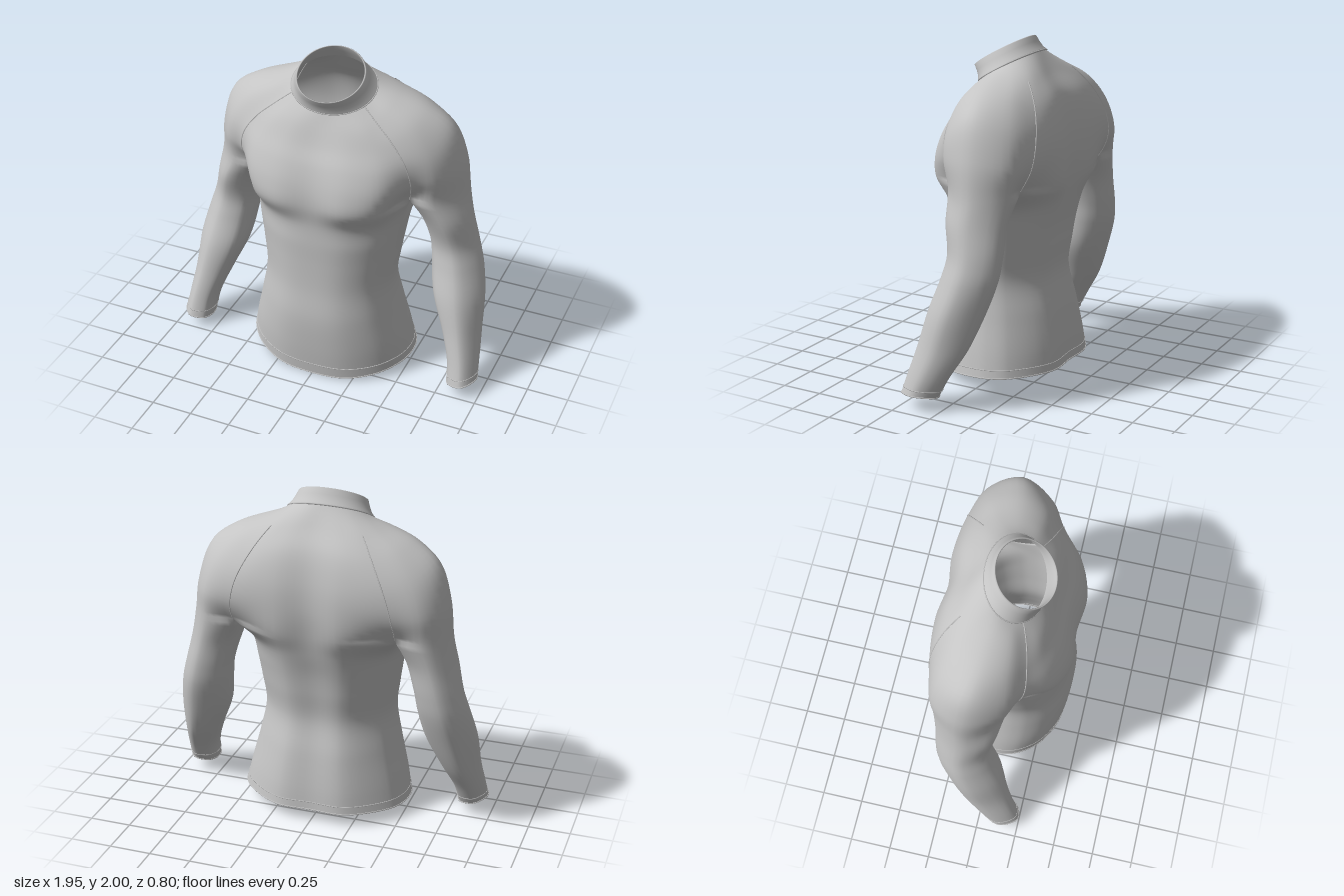
import * as THREE from 'three';
import { mergeGeometries, mergeVertices } from 'three/addons/utils/BufferGeometryUtils.js';

const K = 6;            // rows between two cross-sections
const N = 5;            // points between two columns
const SPLIT = 5 * K;    // row where the sleeves part from the torso
const V = (x, y, z) => new THREE.Vector3(x, y, z);
const flip = (p) => V(-p.x, p.y, p.z);

// Columns run from front centre, round the left side, to back centre.
const COLS = ['f0', 'f1', 'f2', 'p', 'a1', 'a2', 'a3', 'q', 'b1', 'b0'];
const ARM = ['p', 'a1', 'a2', 'a3', 'q', 's3', 's2', 's1'];

// Yoke: each column from just below the collar down to armpit height.
const YOKE = {
  f0: [[0, 1.64, .235], [0, 1.54, .28], [0, 1.44, .335], [0, 1.31, .375], [0, 1.2, .385]],
  f1: [[.14, 1.65, .235], [.18, 1.55, .285], [.2, 1.45, .34], [.21, 1.32, .387], [.21, 1.2, .4]],
  f2: [[.25, 1.66, .21], [.32, 1.56, .25], [.37, 1.45, .295], [.39, 1.32, .325], [.38, 1.2, .32]],
  p: [[.32, 1.69, .155], [.42, 1.6, .18], [.5, 1.48, .19], [.525, 1.35, .165], [.495, 1.22, .1]],
  a1: [[.36, 1.76, .08], [.51, 1.68, .09], [.62, 1.53, .1], [.655, 1.38, .1], [.64, 1.22, .085]],
  a2: [[.37, 1.8, -.03], [.54, 1.735, -.06], [.68, 1.63, -.09], [.755, 1.42, -.11], [.785, 1.2, -.12]],
  a3: [[.34, 1.8, -.15], [.48, 1.71, -.22], [.6, 1.56, -.28], [.66, 1.38, -.31], [.67, 1.22, -.3]],
  q: [[.27, 1.79, -.22], [.36, 1.66, -.31], [.44, 1.5, -.36], [.48, 1.35, -.355], [.485, 1.22, -.29]],
  b1: [[.15, 1.8, -.235], [.19, 1.68, -.33], [.2, 1.52, -.385], [.2, 1.36, -.4], [.2, 1.2, -.385]],
  b0: [[0, 1.81, -.22], [0, 1.69, -.31], [0, 1.53, -.36], [0, 1.36, -.375], [0, 1.2, -.36]],
};
const ARMPIT = { s1: [.483, 1.19, .03], s2: [.478, 1.17, -.1], s3: [.478, 1.19, -.22] };

// Torso rows: height, half width, front z, back z; then where each column sits on the oval.
const TORSO = [[1.07, .465, .37, -.345], [.93, .44, .372, -.31], [.8, .42, .372, -.29], [.62, .4, .378, -.27],
  [.42, .435, .398, -.315], [.22, .485, .392, -.35], [.08, .515, .372, -.365]];
const TORSO_OVAL = { f0: [0, 1], f1: [.42, .94], f2: [.75, .7], p: [.93, .4], s1: [.985, .2], s2: [1, 0],
  s3: [.98, -.22], q: [.87, -.52], b1: [.42, -.96], b0: [0, -.97] };

// Sleeve rows: height, inner x, outer x, front z, back z.
const SLEEVE = [[1.05, .515, .815, .07, -.295], [.88, .565, .855, .035, -.29], [.75, .585, .893, .06, -.275],
  [.57, .62, .93, .12, -.22], [.36, .71, .943, .17, -.14], [.2, .77, .96, .215, -.045], [.08, .79, .97, .25, .02]];
const SLEEVE_OVAL = { p: [-.6, .8], a1: [.3, .95], a2: [1, 0], a3: [.3, -.95], q: [-.6, -.8],
  s1: [-.92, .4], s2: [-1, 0], s3: [-.92, -.4] };

// Slanted neck ring: t = 0 at the collar seam, 1 at the rim; angle from the front.
function neck(t, a, grow = 0) {
  const mix = THREE.MathUtils.lerp, c = Math.cos(a);
  const rx = mix(.25, .2, t) + grow, rz = mix(.17, .17, t) + grow;
  return V(rx * Math.sin(a), mix(1.82, 1.908, t) - mix(.1, .095, t) * c, mix(.03, .08, t) + rz * c);
}

function torsoPoint(row, name) {
  const [y, w, f, b] = row, [u, v] = TORSO_OVAL[name];
  const dip = row === TORSO[6] ? .075 * Math.max(0, v) ** 2 : 0;
  return V(w * u, y - dip, (f + b) / 2 + (f - b) / 2 * v);
}

function sleevePoint(row, name) {
  const [y, i, o, f, b] = row, [u, v] = SLEEVE_OVAL[name];
  const lift = row === SLEEVE[6] ? .015 * u : 0;
  return V((i + o) / 2 + (o - i) / 2 * u, y + lift, (f + b) / 2 + (f - b) / 2 * v);
}

// Smooth points along a column, and round a closed ring.
const along = (pts) => new THREE.CatmullRomCurve3(pts).getPoints((pts.length - 1) * K);
const around = (pts) => new THREE.CatmullRomCurve3(pts, true).getPoints(pts.length * N).slice(0, -1);
const mirrorRing = (half) => around([...half, ...half.slice(1, -1).reverse().map(flip)]);

// Surface through closed rings listed from top to bottom.
function loft(rings) {
  const n = rings[0].length, index = [];
  for (let r = 0; r < rings.length - 1; r++) {
    for (let c = 0; c < n; c++) {
      const d = (c + 1) % n, a = r * n, b = a + n;
      index.push(a + c, b + c, b + d, a + c, b + d, a + d);
    }
  }
  const g = new THREE.BufferGeometry().setFromPoints(rings.flat());
  g.setIndex(index);
  g.computeVertexNormals();
  return g;
}

export function createModel() {
  const group = new THREE.Group();
  const fabric = new THREE.MeshStandardMaterial({ color: 0xc4c4c4, side: THREE.DoubleSide });
  const add = (name, geometry) => {
    const mesh = new THREE.Mesh(geometry, fabric);
    mesh.name = name;
    group.add(mesh);
  };

  // Smooth columns for the trunk (with shoulders) and for one sleeve
  const trunk = {}, sleeve = {}, side = {};
  const angles = [0, 22, 42, 60, 80, 100, 120, 140, 160, 180];
  COLS.forEach((name, i) => {
    const upper = [neck(0, THREE.MathUtils.degToRad(angles[i])), ...YOKE[name].map((p) => V(...p))];
    const lower = name[0] === 'a' ? SLEEVE.map((r) => sleevePoint(r, name)) : TORSO.map((r) => torsoPoint(r, name));
    trunk[name] = along([...upper, ...lower]);
  });
  for (const name of ['s1', 's2', 's3']) {
    side[name] = along([V(...ARMPIT[name]), ...TORSO.map((r) => torsoPoint(r, name))]);
  }
  for (const name of ARM) {
    const start = ARMPIT[name] || YOKE[name][4];
    sleeve[name] = name[0] === 'a' ? trunk[name].slice(SPLIT)
      : along([V(...start), ...SLEEVE.map((r) => sleevePoint(r, name))]);
  }

  // Rings: yoke with both shoulders, then torso and sleeves below the armpits
  const yoke = [], torso = [], arm = [];
  for (let r = 0; r <= SPLIT; r++) yoke.push(mirrorRing(COLS.map((c) => trunk[c][r])));
  for (let r = 0; r <= 7 * K; r++) {
    torso.push(mirrorRing(COLS.map((c) => (c[0] === 'a' ? side['s' + c[1]][r] : trunk[c][r + SPLIT]))));
    arm.push(around(ARM.map((c) => sleeve[c][r])));
  }
  // Share the exact edge where the three openings meet
  const P = 3 * N, Q = 7 * N, last = yoke[SPLIT], total = last.length;
  const underarm = torso[0].slice(P + 1, Q).reverse();
  arm[0] = [...last.slice(P, Q + 1), ...underarm];
  torso[0] = torso[0].map((p, i) => {
    const m = Math.min(i, total - i);
    return m > P && m < Q ? p : last[i];
  });
  const otherArm = arm.map((ring) => ring.map(flip).reverse());

  const body = mergeVertices(mergeGeometries([yoke, torso, arm, otherArm].map((rings) => {
    const g = loft(rings);
    g.deleteAttribute('normal');
    return g;
  })), 1e-4);
  body.computeVertexNormals();
  add('bodyAndSleeves', body);

  // Stand-up collar with a turned-in rim
  const collarRing = (t, grow) => Array.from({ length: 64 }, (_, i) => neck(t, i / 32 * Math.PI, grow));
  add('collar', loft([[.0, -.012], [.5, -.012], [.97, -.01], [1, -.004], [.97, .001], [.6, -.002],
    [.3, -.001], [.1, .005], [0, .007], [-.06, .002]].map(([t, grow]) => collarRing(t, grow))));

  // Raised stitching lines
  const seam = (name, pts, closed = false, radius = .004) => add(name,
    new THREE.TubeGeometry(new THREE.CatmullRomCurve3(pts, closed), pts.length * 2, radius, 5, closed));
  seam('collarSeam', collarRing(.02, .006), true);
  seam('hemSeam', torso[7 * K - 2], true, .003);
  seam('hemEdge', torso[7 * K], true);
  for (const [label, turn] of [['left', (p) => p], ['right', flip]]) {
    seam(label + 'FrontSeam', trunk.p.slice(0, SPLIT + 1).map(turn));
    seam(label + 'BackSeam', trunk.q.slice(K, SPLIT + 1).map(turn));
    seam(label + 'CuffSeam', arm[7 * K - 2].map(turn), true, .003);
    seam(label + 'CuffEdge', arm[7 * K].map(turn), true);
  }
  return group;
}
